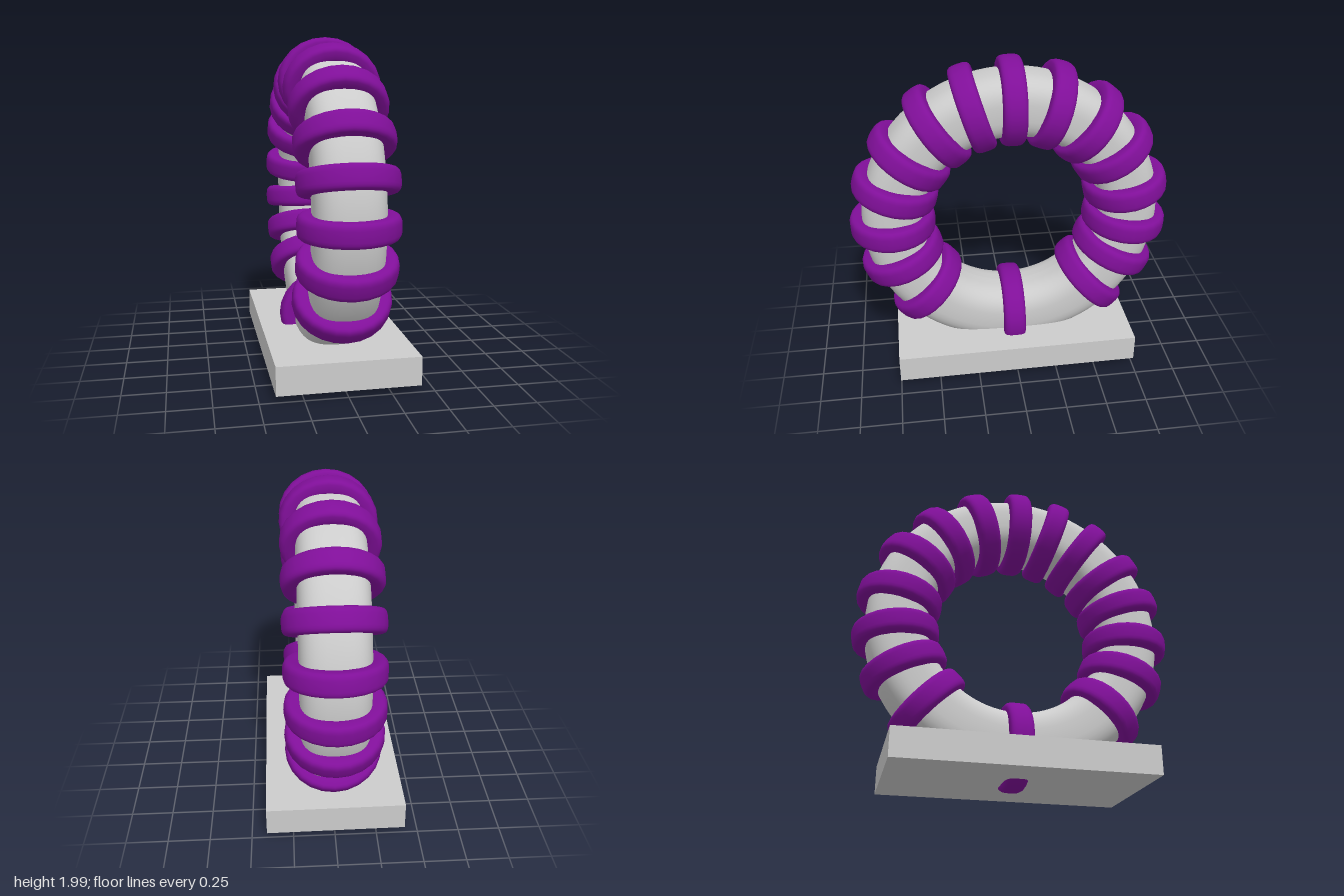
import * as THREE from 'three';

const CENTRE_Y = 1.005;

// Closed ring around the y axis with a rounded-square section
function roundedRing(radius, halfRadial, halfAxial, power, sectionSides, segments) {
  const soft = (v) => Math.sign(v) * Math.pow(Math.abs(v), 2 / power);
  const profile = [];
  for (let i = 0; i <= sectionSides; i++) {
    const a = Math.PI + (i / sectionSides) * Math.PI * 2; // seam on the inner side
    profile.push(new THREE.Vector2(
      radius + halfRadial * soft(Math.cos(a)),
      halfAxial * soft(Math.sin(a))
    ));
  }
  return new THREE.LatheGeometry(profile, segments);
}

export function createModel() {
  const model = new THREE.Group();
  const grey = new THREE.MeshStandardMaterial({ color: 0xcccccc });
  const purple = new THREE.MeshStandardMaterial({ color: 0x800f99 });

  // Slab, turned very slightly
  const base = new THREE.Mesh(new THREE.BoxGeometry(0.83, 0.17, 1.51), grey);
  base.name = 'base';
  base.position.y = 0.135;
  base.rotation.y = 0.008;
  model.add(base);

  // Large upright ring in the y-z plane
  const hoopGeometry = roundedRing(0.727, 0.19, 0.2, 2.8, 40, 96);
  hoopGeometry.rotateZ(Math.PI / 2);
  const hoop = new THREE.Mesh(hoopGeometry, grey);
  hoop.name = 'hoop';
  hoop.position.y = CENTRE_Y;
  model.add(hoop);

  // Bands around the hoop, unevenly spaced; degrees from the top towards the front
  const bandGeometry = roundedRing(0.234, 0.054, 0.07, 3.2, 24, 24);
  bandGeometry.rotateX(Math.PI / 2);
  bandGeometry.scale(1, 0.912, 1);
  const angles = [0, 17.7, 36, 55.5, 73.5, 92, 110.5, 132, 180,
    -19, -39, -58, -78.5, -97, -114.7, -135];
  const bands = new THREE.Group();
  bands.name = 'bands';
  bands.position.y = CENTRE_Y;
  for (const degrees of angles) {
    const a = THREE.MathUtils.degToRad(degrees);
    const band = new THREE.Mesh(bandGeometry, purple);
    band.name = 'band';
    band.position.set(0, 0.732 * Math.cos(a), 0.732 * Math.sin(a));
    band.rotation.x = a;
    bands.add(band);
  }
  model.add(bands);

  return model;
}
